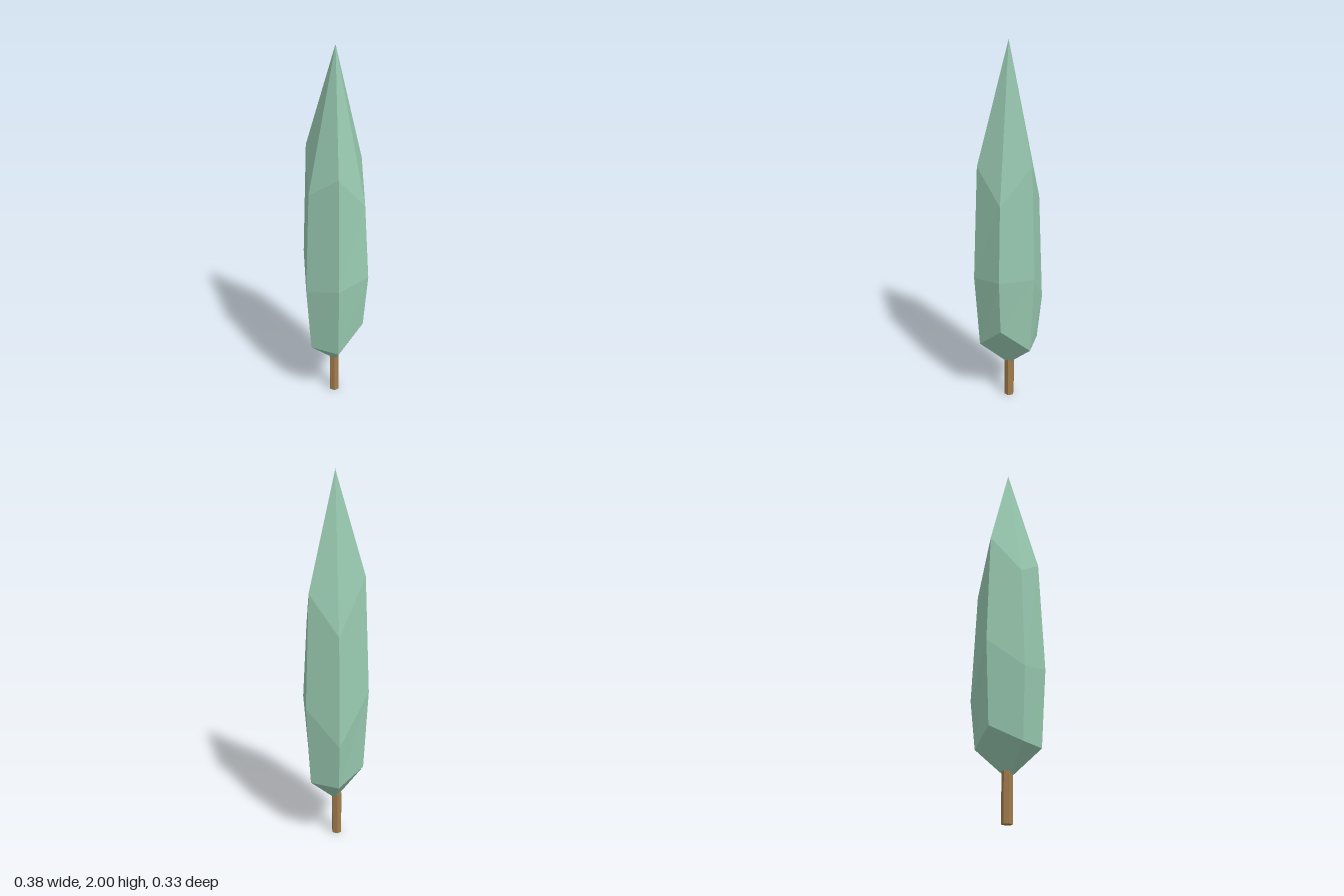
import * as THREE from 'three';

export function createModel() {
  const group = new THREE.Group();
  group.name = 'tree';

  // Foliage: three hexagonal rings with uneven heights, closed by a point at each end
  const sides = 6;
  const rings = [
    { r: 0.165, y: [0.50, 0.36, 0.36, 0.44, 0.36, 0.36] },
    { r: 0.191, y: [0.80, 0.77, 0.73, 0.88, 0.61, 0.80] },
    { r: 0.165, y: [1.21, 1.385, 1.28, 1.49, 1.20, 1.41] },
  ];
  const positions = [];
  for (const { r, y } of rings) {
    for (let i = 0; i < sides; i++) {
      const a = (i / sides) * Math.PI * 2;
      positions.push(r * Math.cos(a), y[i], r * Math.sin(a));
    }
  }
  const bottom = positions.length / 3;
  const top = bottom + 1;
  positions.push(0, 0.21, 0, 0, 2, 0);

  const index = [];
  for (let i = 0; i < sides; i++) {
    const j = (i + 1) % sides;
    index.push(bottom, i, j);
    for (let k = 0; k < rings.length - 1; k++) {
      const lo = k * sides;
      const hi = lo + sides;
      index.push(lo + j, lo + i, hi + i, lo + j, hi + i, hi + j);
    }
    const last = (rings.length - 1) * sides;
    index.push(last + j, last + i, top);
  }
  const indexed = new THREE.BufferGeometry();
  indexed.setAttribute('position', new THREE.Float32BufferAttribute(positions, 3));
  indexed.setIndex(index);
  const foliageGeometry = indexed.toNonIndexed();
  foliageGeometry.computeVertexNormals();
  const foliage = new THREE.Mesh(
    foliageGeometry,
    new THREE.MeshStandardMaterial({ color: 0x98c9b0, flatShading: true })
  );
  foliage.name = 'foliage';
  group.add(foliage);

  // Trunk: thin hexagonal post, its top tucked into the foliage
  const trunk = new THREE.Mesh(
    new THREE.CylinderGeometry(0.028, 0.028, 0.25, sides),
    new THREE.MeshStandardMaterial({ color: 0xa27c4c, flatShading: true })
  );
  trunk.name = 'trunk';
  trunk.rotation.y = Math.PI / 6;
  trunk.position.set(-0.009, 0.125, 0);
  group.add(trunk);

  return group;
}
